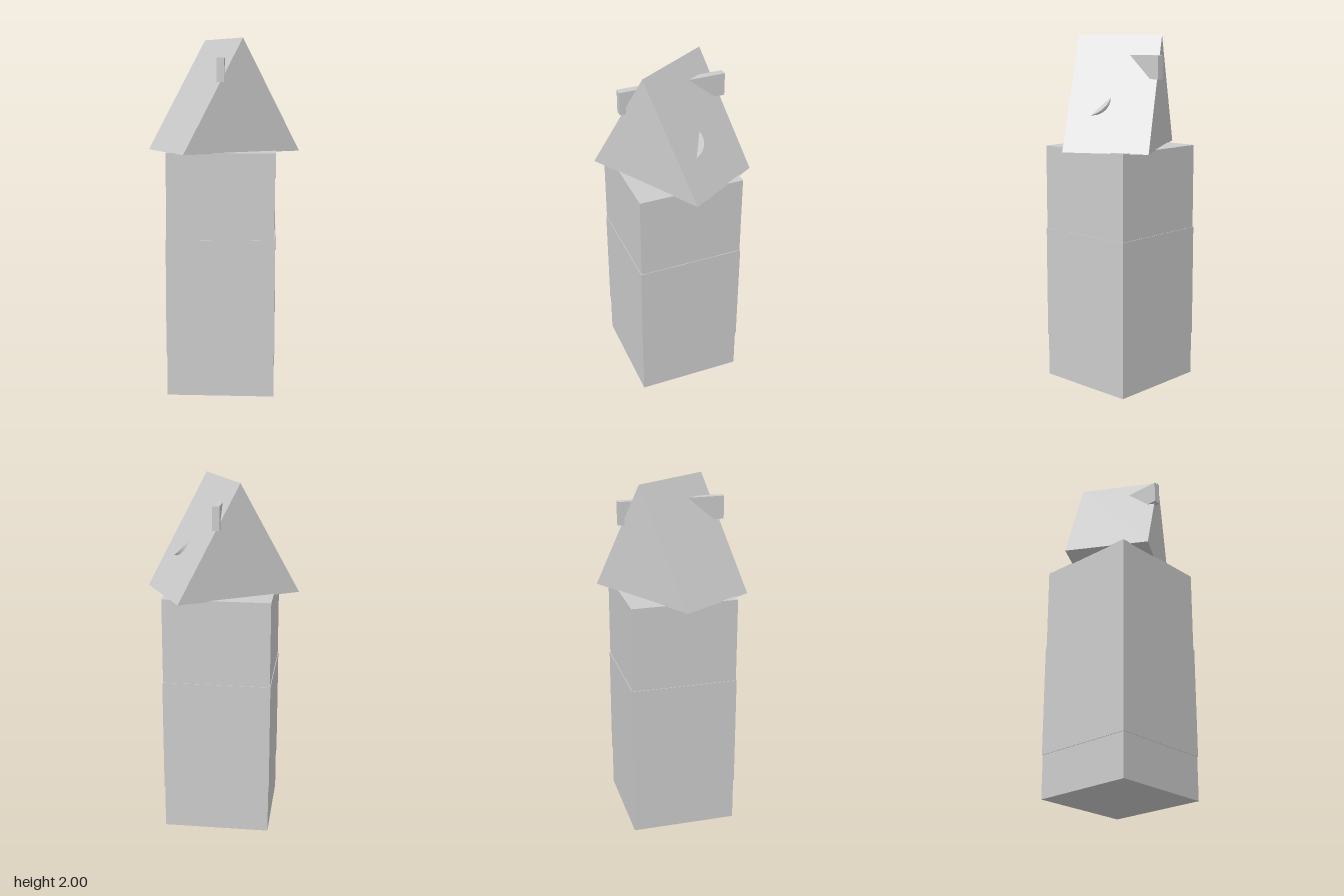
import * as THREE from 'three';

export function createModel() {
  const group = new THREE.Group();
  const grey = new THREE.MeshStandardMaterial({ color: 0xcccccc });
  grey.name = 'plainGrey';

  const add = (name, geometry, x, y, z) => {
    const mesh = new THREE.Mesh(geometry, grey);
    mesh.name = name;
    mesh.position.set(x, y, z);
    group.add(mesh);
    return mesh;
  };

  // square tower with a slightly wider sleeve around its middle
  add('tower', new THREE.BoxGeometry(0.6, 1.375, 0.6), 0, 0.6875, 0);
  add('sleeve', new THREE.BoxGeometry(0.607, 0.645, 0.607), 0, 0.57, 0);

  // turned gable roof: an equilateral prism lying on one side
  const prism = new THREE.CylinderGeometry(0.42, 0.42, 0.48, 3).rotateX(-Math.PI / 2).toNonIndexed();
  prism.computeVertexNormals();
  add('roof', prism, 0, 1.58, 0).rotation.y = Math.PI / 6;

  // bar running through the roof from front to back
  add('crossBar', new THREE.BoxGeometry(0.04, 0.13, 0.6), 0, 1.825, 0);

  // tilted disc, mostly sunk into the left slope
  add('slopeDisc', new THREE.CylinderGeometry(0.1, 0.1, 0.04, 32), 0.19, 1.617, 0).rotation.z = -Math.PI / 4;

  return group;
}
